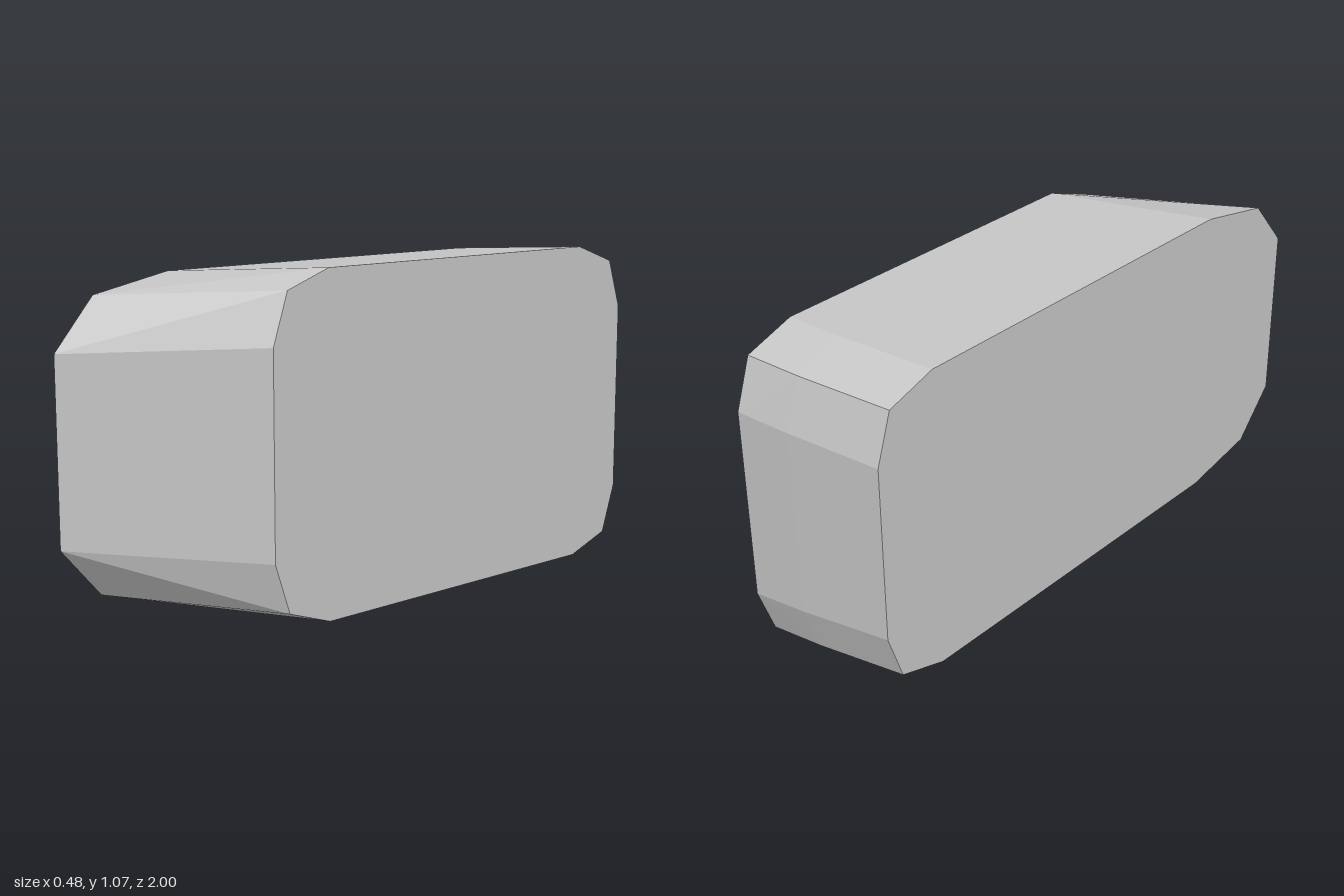
import * as THREE from 'three';
import { ConvexGeometry } from 'three/addons/geometries/ConvexGeometry.js';

const MID_Y = 0.537;

// Mirror a run of [z, height above centre] points about the mid-height.
function addSection(points, x, profile) {
  for (const [z, h] of profile) {
    points.push(new THREE.Vector3(x, MID_Y + h, z), new THREE.Vector3(x, MID_Y - h, z));
  }
}

export function createModel() {
  const group = new THREE.Group();
  group.name = 'bevelledBlock';
  const grey = new THREE.MeshStandardMaterial({ color: 0xc4c4c4 });
  grey.name = 'light grey';

  const points = [];
  // long side: front corner, then back corner
  addSection(points, -0.24, [
    [1, 0.294], [0.86, 0.456], [0.585, 0.51],
    [-0.70, 0.51], [-0.867, 0.456], [-0.92, 0.294],
  ]);
  // slight bend across the back
  addSection(points, 0.06, [[-0.757, 0.527], [-0.922, 0.472], [-0.975, 0.311]]);
  // short side, cut back at the front
  addSection(points, 0.24, [
    [0.575, 0.32], [0.52, 0.481], [0.36, 0.537],
    [-0.782, 0.537], [-0.945, 0.481], [-1, 0.32],
  ]);

  // faceted convex body with flat faces
  const body = new THREE.Mesh(new ConvexGeometry(points), grey);
  body.name = 'body';
  group.add(body);
  return group;
}
